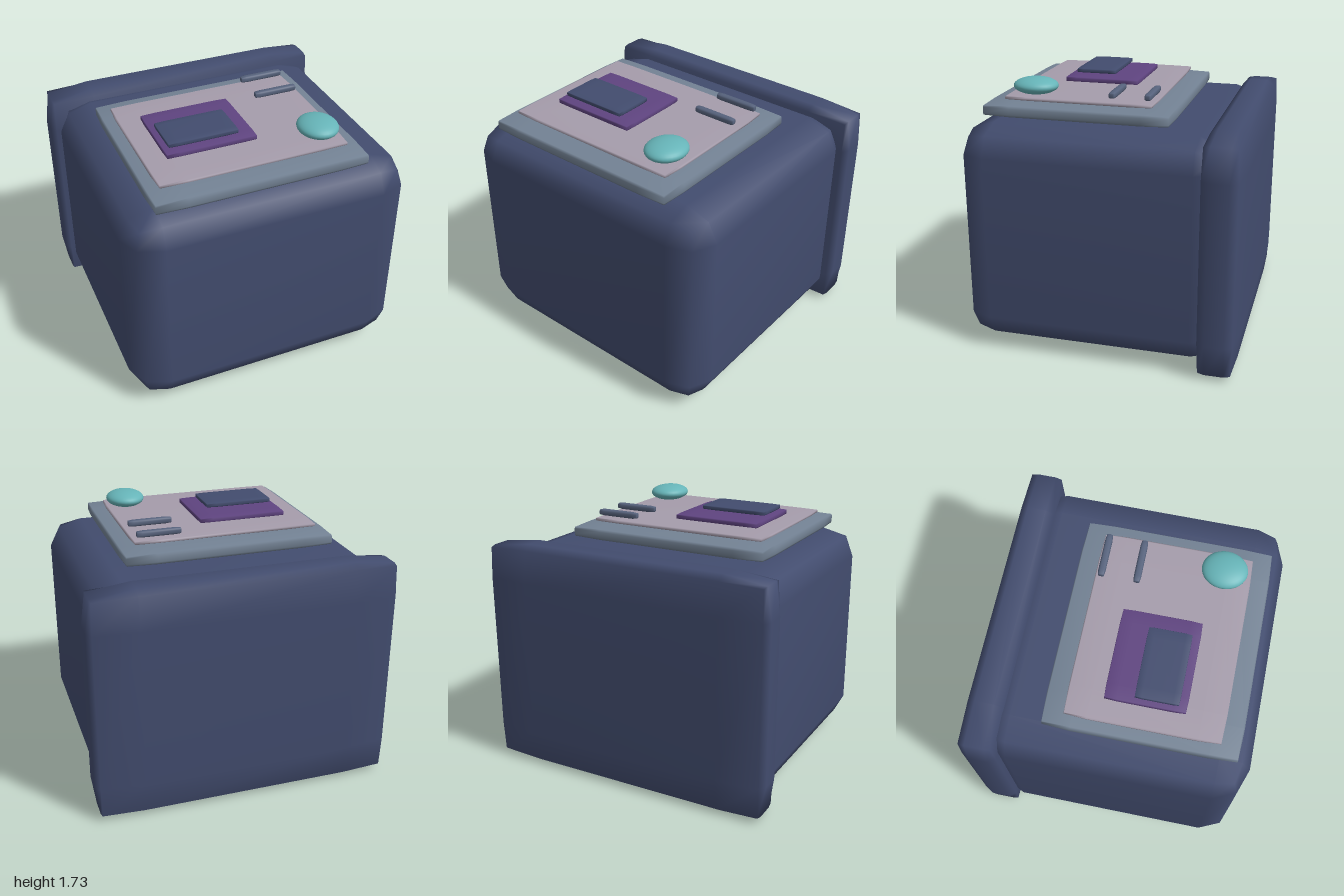
import * as THREE from 'three';
import { mergeVertices } from 'three/addons/utils/BufferGeometryUtils.js';

const NAVY = 0x424c6e;

// Softly bevelled block between two corners. Per axis, as fractions of the half size:
// flat = extent of the flat faces, edge = reach of the bevel edges, corner = reach of the corners.
function softBlock(name, color, min, max, flat, edge, corner = edge) {
  const box = new THREE.BoxGeometry(2, 2, 2, 3, 3, 3);
  box.deleteAttribute('normal');
  box.deleteAttribute('uv');
  const geometry = mergeVertices(box);
  const pos = geometry.attributes.position;
  for (let v = 0; v < pos.count; v++) {
    const p = [pos.getX(v), pos.getY(v), pos.getZ(v)];
    const outer = p.map((c) => Math.abs(c) > 0.9);
    const count = outer.filter(Boolean).length;
    const reach = [null, [1, 1, 1], edge, corner][count];
    const q = p.map((c, k) => {
      const t = Math.sign(c) * (outer[k] ? reach[k] : flat[k]);
      return (min[k] + max[k]) / 2 + (t * (max[k] - min[k])) / 2;
    });
    pos.setXYZ(v, ...q);
  }
  geometry.computeVertexNormals();
  const mesh = new THREE.Mesh(geometry, new THREE.MeshStandardMaterial({ color }));
  mesh.name = name;
  return mesh;
}

// Thin horizontal plate with nearly square corners
function plate(name, color, min, max) {
  return softBlock(name, color, min, max, [0.7, 0.4, 0.7], [0.985, 0.75, 0.985], [0.98, 0.65, 0.98]);
}

export function createModel() {
  const group = new THREE.Group();

  // Rounded main body and the larger plate at the back
  group.add(softBlock('body', NAVY, [-0.95, 0.05, -0.82], [0.95, 1.49, 0.91],
    [0.76, 0.75, 0.76], [0.93, 0.93, 0.93], [0.9, 0.9, 0.9]));
  group.add(softBlock('backPlate', NAVY, [-1, 0, -0.91], [1, 1.54, -0.64],
    [0.69, 0.68, 0.45], [0.97, 0.955, 0.82], [0.965, 0.945, 0.76]));

  // Stack of plates on top
  group.add(plate('topSlab', 0x738294, [-0.755, 1.49, -0.41], [0.655, 1.585, 0.82]));
  group.add(plate('topPanel', 0xa59cab, [-0.685, 1.59, -0.28], [0.565, 1.62, 0.7]));
  group.add(plate('screenFrame', 0x5f4480, [-0.545, 1.612, -0.055], [0.055, 1.655, 0.455]));
  group.add(plate('screen', NAVY, [-0.515, 1.658, 0.13], [-0.05, 1.693, 0.405]));

  // Two slim bars near the back of the panel
  for (const z of [-0.24, -0.01]) {
    group.add(softBlock('bar', 0x56627c, [0.243, 1.633, z - 0.023], [0.537, 1.675, z + 0.023],
      [0.75, 0.4, 0.4], [0.98, 0.8, 0.8], [0.96, 0.72, 0.72]));
  }

  // Flattened round button
  const button = new THREE.Mesh(
    new THREE.SphereGeometry(1, 32, 20),
    new THREE.MeshStandardMaterial({ color: 0x66b4b8 })
  );
  button.name = 'button';
  button.scale.set(0.13, 0.055, 0.147);
  button.position.set(0.43, 1.67, 0.525);
  group.add(button);

  return group;
}
